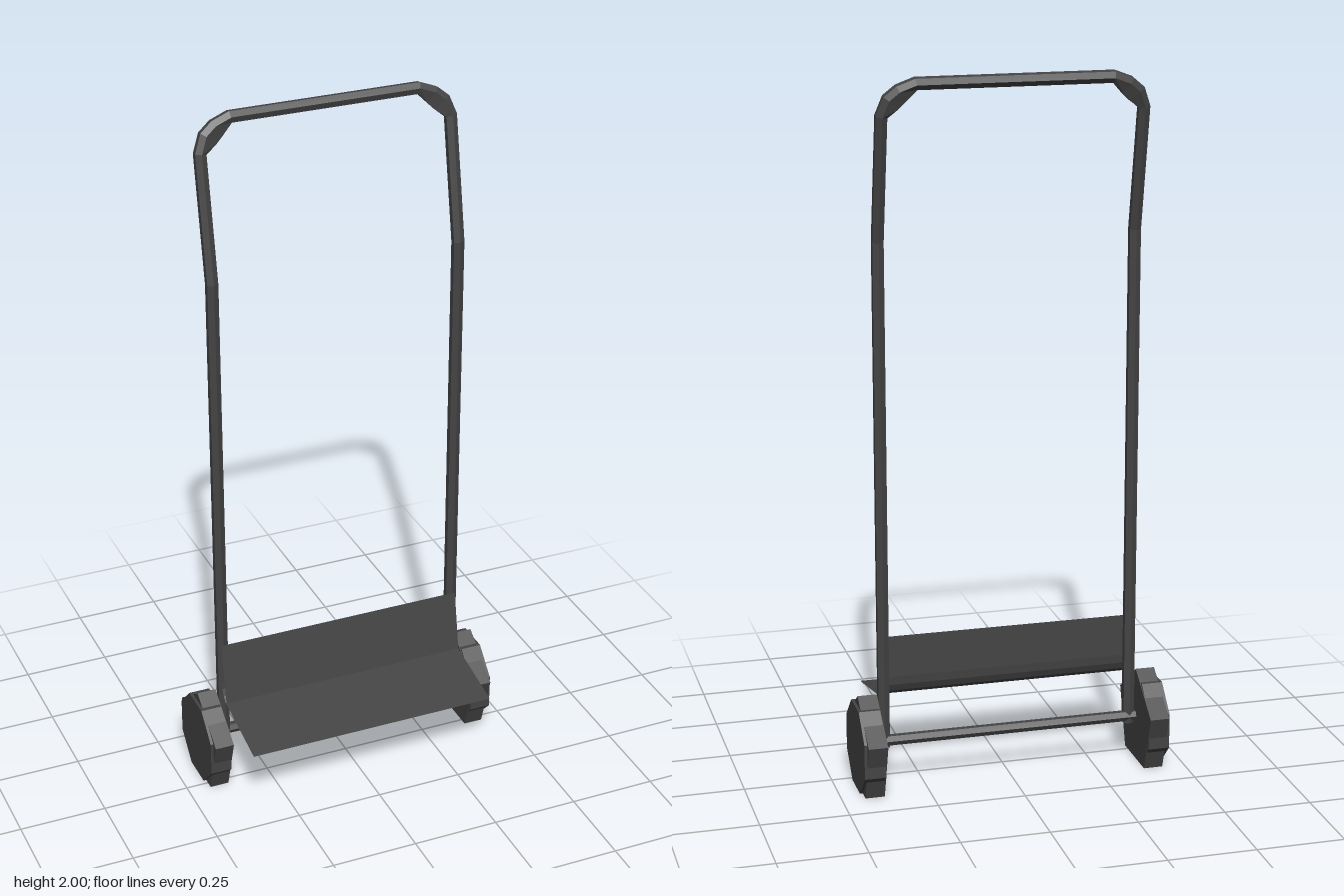
import * as THREE from 'three';

const material = new THREE.MeshStandardMaterial({ color: 0x444444, flatShading: true });
const sheetMaterial = new THREE.MeshStandardMaterial({ color: 0x444444, flatShading: true, side: THREE.DoubleSide });

const AXLE_Y = 0.122, AXLE_Z = -0.065;

function addMesh(parent, name, geometry, mat = material) {
  const mesh = new THREE.Mesh(geometry, mat);
  mesh.name = name;
  parent.add(mesh);
  return mesh;
}

// Cylinder lying along x
function sideways(radius, length, sides, start = 0) {
  return new THREE.CylinderGeometry(radius, radius, length, sides, 1, false, start).rotateZ(Math.PI / 2);
}

// Mitred sweep of a six-sided section; the first segment must run straight up
function sweep(points, radius, adjust) {
  const sides = 6, rings = [];
  const dirs = points.slice(1).map((p, k) => p.clone().sub(points[k]).normalize());
  for (let k = 0; k < points.length; k++) {
    const ring = [];
    for (let i = 0; i < sides; i++) {
      if (k === 0) {
        const a = Math.PI / 2 + (i * 2 * Math.PI) / sides;
        ring.push(new THREE.Vector3(Math.cos(a), 0, Math.sin(a)).multiplyScalar(radius).add(points[0]));
      } else {
        // slide the previous ring along the segment onto the mitre plane
        const d = dirs[k - 1];
        const n = d.clone().add(dirs[k] || d).normalize();
        const p = rings[k - 1][i];
        const s = points[k].clone().sub(p).dot(n) / d.dot(n);
        ring.push(p.clone().addScaledVector(d, s));
      }
    }
    rings.push(ring);
  }
  rings.forEach((ring, k) => ring.forEach((v) => adjust(v, points[k], k)));

  const index = [], last = (points.length - 1) * sides;
  for (let k = 0; k < points.length - 1; k++) {
    for (let i = 0; i < sides; i++) {
      const a = k * sides + i, b = k * sides + ((i + 1) % sides);
      index.push(a, a + sides, b, b, a + sides, b + sides);
    }
  }
  for (let i = 1; i < sides - 1; i++) {
    index.push(0, i, i + 1, last, last + i + 1, last + i);
  }
  const geometry = new THREE.BufferGeometry().setFromPoints(rings.flat());
  geometry.setIndex(index);
  geometry.computeVertexNormals();
  return geometry;
}

// Open sheet: a z,y profile stretched across the width
function sheet(profile, halfWidth) {
  const points = profile.flatMap(([z, y]) => [
    new THREE.Vector3(-halfWidth, y, z), new THREE.Vector3(halfWidth, y, z)]);
  const index = [];
  for (let k = 0; k < profile.length - 1; k++) {
    const a = 2 * k;
    index.push(a, a + 2, a + 1, a + 1, a + 2, a + 3);
  }
  const geometry = new THREE.BufferGeometry().setFromPoints(points);
  geometry.setIndex(index);
  geometry.computeVertexNormals();
  return geometry;
}

export function createModel() {
  const model = new THREE.Group();
  model.name = 'handTruck';

  // Tubular frame: legs, bent-back handle and rounded top corners
  const leanZ = (y) => -0.058 - Math.max(0, y - 1.555) * 0.186;
  const half = [[0.36, 0.11], [0.36, 1.555], [0.36, 1.9], [0.343, 1.945], [0.315, 1.968], [0.27, 1.985]];
  const path = [...half, ...half.map(([x, y]) => [-x, y]).reverse()]
    .map(([x, y]) => new THREE.Vector3(x, y, leanZ(y)));
  const fillCorner = (v, centre) => {
    // flatten the inside of each bend into a straight chamfer
    const reach = Math.abs(v.x) + v.y;
    const bend = Math.abs(centre.x) > 0.3 && centre.y > 1.92;
    if (bend && reach < Math.abs(centre.x) + centre.y - 0.005 && reach > 2.235) {
      const s = (reach - 2.235) / 2;
      v.x -= Math.sign(v.x) * s;
      v.y -= s;
    }
  };
  addMesh(model, 'frame', sweep(path, 0.018, fillCorner));

  // Axle between the wheels
  addMesh(model, 'axle', sideways(0.016, 0.77, 6)).position.set(0, 0.13, -0.062);

  // Load plate: flat front faces with a curved backing sheet
  const plate = new THREE.Group();
  plate.name = 'loadPlate';
  model.add(plate);
  const front = [[-0.04, 0.43], [-0.008, 0.254], [0.205, 0.21]];
  const back = [[-0.042, 0.43], [-0.042, 0.31], [-0.039, 0.285], [-0.03, 0.265], [-0.015, 0.252], [0.205, 0.207]];
  addMesh(plate, 'plateFront', sheet(front, 0.368), sheetMaterial);
  addMesh(plate, 'plateBack', sheet(back, 0.368), sheetMaterial);

  // Wheels: five-sided tyre with an eight-sided disc standing out of it
  for (const side of [1, -1]) {
    const wheel = new THREE.Group();
    wheel.name = side > 0 ? 'leftWheel' : 'rightWheel';
    wheel.position.set(0, AXLE_Y, AXLE_Z);
    addMesh(wheel, 'tyre', sideways(0.15, 0.055, 5, Math.PI / 2)).position.x = side * 0.4075;
    addMesh(wheel, 'wheelDisc', sideways(0.132, 0.061, 8, Math.PI / 8)).position.x = side * 0.4125;
    model.add(wheel);
  }
  return model;
}
